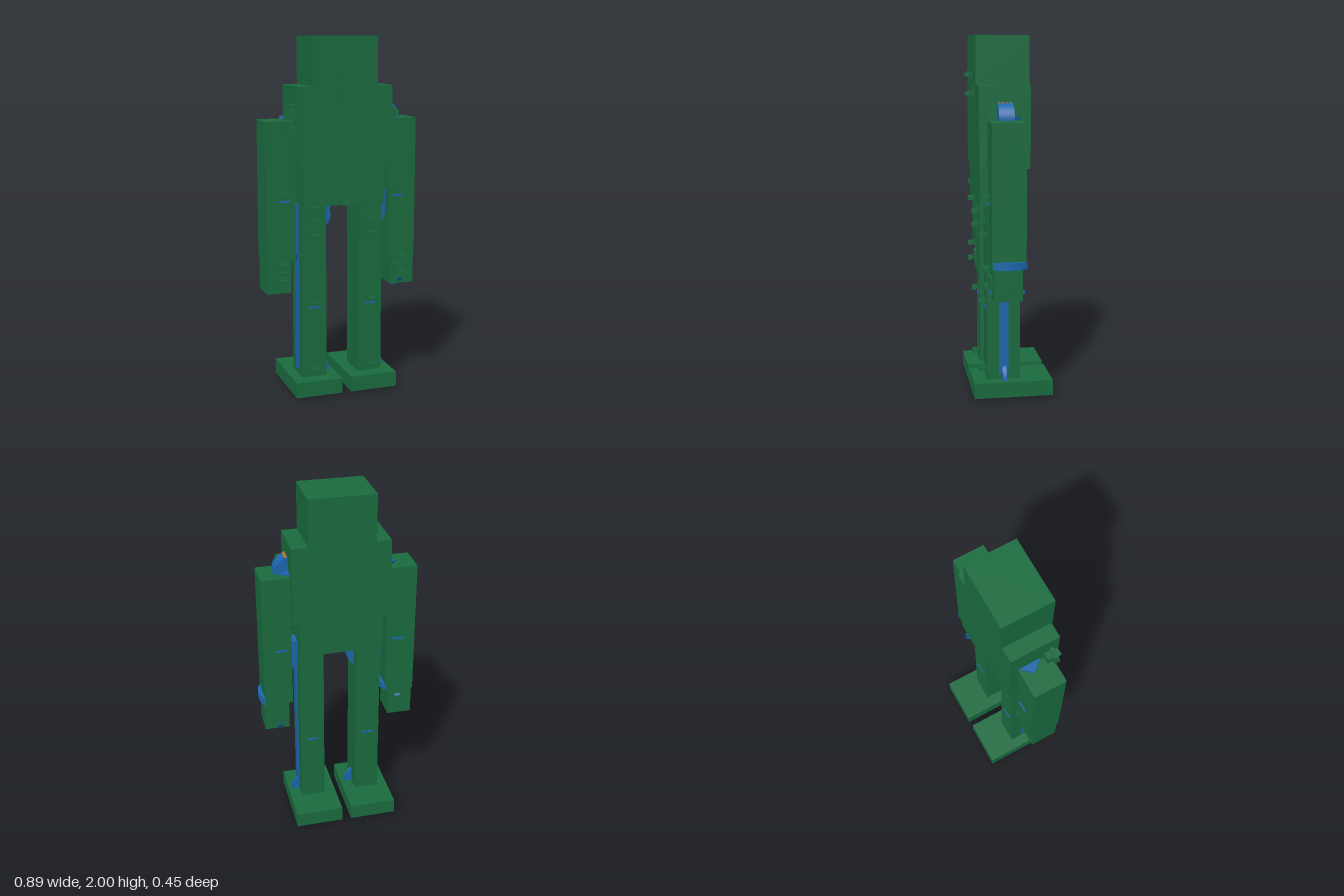
import * as THREE from 'three';

const mat = (color) => new THREE.MeshStandardMaterial({ color, side: THREE.DoubleSide, flatShading: true });

export function createModel() {
  const model = new THREE.Group();
  const green = mat(0x1a6b3f);
  const blue = mat(0x1c66ad);
  const orange = mat(0xc07a2a);

  // Box given by its limits on each axis
  function box(name, [x0, x1], [y0, y1], [z0, z1], material = green) {
    const mesh = new THREE.Mesh(new THREE.BoxGeometry(x1 - x0, y1 - y0, z1 - z0), material);
    mesh.position.set((x0 + x1) / 2, (y0 + y1) / 2, (z0 + z1) / 2);
    mesh.name = name;
    model.add(mesh);
    return mesh;
  }

  // Pie slice of a disc, its axis along x, y or z
  function slice(name, axis, radius, thickness, position, start, length) {
    const geometry = new THREE.CylinderGeometry(radius, radius, thickness, 20, 1, false, start, length);
    if (axis === 'z') geometry.rotateX(Math.PI / 2);
    if (axis === 'x') geometry.rotateZ(Math.PI / 2);
    const mesh = new THREE.Mesh(geometry, blue);
    mesh.position.set(...position);
    mesh.name = name;
    model.add(mesh);
  }

  // Front clip: back plate, neck, outer block and raised centre
  function clip(x, y, z, scale = 1) {
    const group = new THREE.Group();
    group.name = 'clip';
    const parts = [
      [0.042, 0.028, 0.008, 0, 0.002],
      [0.018, 0.014, 0.026, 0, 0.015],
      [0.042, 0.022, 0.022, -0.003, 0.027],
      [0.018, 0.010, 0.010, 0.012, 0.02],
    ];
    for (const [w, h, d, py, pz] of parts) {
      const part = new THREE.Mesh(new THREE.BoxGeometry(w * scale, h, d), green);
      part.position.set(0, py, pz);
      group.add(part);
    }
    group.position.set(x, y, z);
    model.add(group);
  }

  // Trunk
  box('head', [-0.20, 0.17], [1.735, 2.0], [-0.105, 0.187]);
  box('torso', [-0.285, 0.26], [1.29, 1.735], [-0.098, 0.18]);
  box('pelvis', [-0.25, 0.218], [1.085, 1.29], [-0.085, 0.173]);
  clip(-0.015, 1.79, 0.187);
  clip(-0.015, 1.685, 0.187);
  box('chinPlate', [-0.058, 0.028], [1.675, 1.725], [0.18, 0.19]);
  clip(-0.015, 1.1, 0.173);
  slice('pelvisJoint', 'z', 0.025, 0.03, [0.022, 1.088, 0.04], 0, Math.PI * 2);

  // Arms and hands
  const arms = [
    { arm: [-0.45, -0.285], hand: [-0.45, -0.31], clipX: -0.35, handX: -0.365, shoulderX: -0.305 },
    { arm: [0.26, 0.42], hand: [0.28, 0.42], clipX: 0.318, handX: 0.335, shoulderX: 0.28 },
  ];
  for (const { arm, hand, clipX, handX, shoulderX } of arms) {
    box('arm', arm, [0.775, 1.55], [-0.05, 0.135]);
    box('hand', hand, [0.60, 0.776], [-0.03, 0.125]);
    clip(clipX, 1.15, 0.135);
    clip(handX, 0.768, 0.135);
    clip(handX, 0.675, 0.135);
    box('handPlate', [handX - 0.04, handX + 0.04], [0.65, 0.72], [0.12, 0.137]);
    box('armPlate', [clipX - 0.033, clipX + 0.033], [1.11, 1.12], [-0.056, 0.14], blue);
    slice('elbowDisc', 'y', 0.175, 0.04, [arm[1] - 0.15, 0.795, 0.04], Math.PI / 2 - 0.57, 1.14);
    // Shoulder bracket
    clip(shoulderX, 1.5, 0.135);
    clip(shoulderX, 1.59, 0.135);
    box('shoulderBracket', [shoulderX - 0.02, shoulderX + 0.02], [1.555, 1.61], [0.095, 0.145]);
  }

  // Shoulder joints
  slice('leftShoulderDisc', 'z', 0.092, 0.083, [0.245, 1.556, 0.042], Math.PI / 2, Math.PI / 2);
  for (let i = 0; i < 4; i++) {
    const z = 0.01 + i * 0.02;
    box('shoulderContact', [0.262, 0.277], [1.63, 1.65], [z, z + 0.01], orange);
  }
  const wedges = [
    [[-0.28, -0.05], [-0.34, 0.015], [-0.305, 0.05], [-0.28, 0.085]],
    [[0.255, -0.05], [0.305, 0], [0.255, 0.0]],
  ];
  for (const points of wedges) {
    const shape = new THREE.Shape(points.map(([x, z]) => new THREE.Vector2(x, -z)));
    const geometry = new THREE.ExtrudeGeometry(shape, { depth: 0.015, bevelEnabled: false });
    geometry.rotateX(-Math.PI / 2);
    const mesh = new THREE.Mesh(geometry, blue);
    mesh.position.y = 1.555;
    mesh.name = 'shoulderWedge';
    model.add(mesh);
  }
  box('rightShoulderPost', [-0.345, -0.33], [1.555, 1.62], [0.125, 0.145]);
  box('rightShoulderBar', [-0.345, -0.28], [1.625, 1.64], [0.125, 0.145]);

  // Wrist discs
  slice('leftWristDisc', 'x', 0.11, 0.028, [0.335, 0.685, 0.042], Math.PI * 1.5 - 1.1, 2.2);
  slice('rightWristDisc', 'x', 0.095, 0.03, [-0.365, 0.67, 0.042], 0.55, Math.PI - 1.1);

  // Legs and feet
  const legs = [
    { leg: [-0.25, -0.11], foot: [-0.31, -0.042], strip: [-0.256, -0.248], nub: -0.12 },
    { leg: [0.08, 0.22], foot: [0.012, 0.285], strip: [0.218, 0.23], nub: 0.205 },
  ];
  for (const { leg, foot, strip, nub } of legs) {
    const middle = (leg[0] + leg[1]) / 2;
    box('leg', leg, [0.1, 1.086], [-0.05, 0.135]);
    box('foot', foot, [0.013, 0.1], [-0.226, 0.215]);
    box('legStrip', strip, [0.13, 1.09], [0.017, 0.07], blue);
    box('kneePlate', [middle - 0.033, middle + 0.033], [0.5, 0.51], [-0.055, 0.14], blue);
    for (const y of [0.145, 0.535, 0.915, 0.995, 1.07]) clip(middle, y, 0.135);
    const discX = leg[1] - 0.055;
    slice('ankleDisc', 'z', 0.1, 0.022, [discX, 0.1, 0.042], Math.PI / 2, Math.PI / 2);
    slice('hipDisc', 'z', 0.1, 0.083, [discX, 1.03, 0.042], 0, Math.PI / 2);
    box('hipBlock', [leg[1] - 0.01, leg[1] + 0.04], [1.03, leg[1] > 0 ? 1.14 : 1.086], [0, 0.083], blue);
    box('soleNub', [nub - 0.01, nub + 0.01], [0, 0.02], [0.03, 0.055], blue);
  }
  box('hipContact', [-0.272, -0.25], [0.965, 1.0], [0.02, 0.06], blue);

  return model;
}
